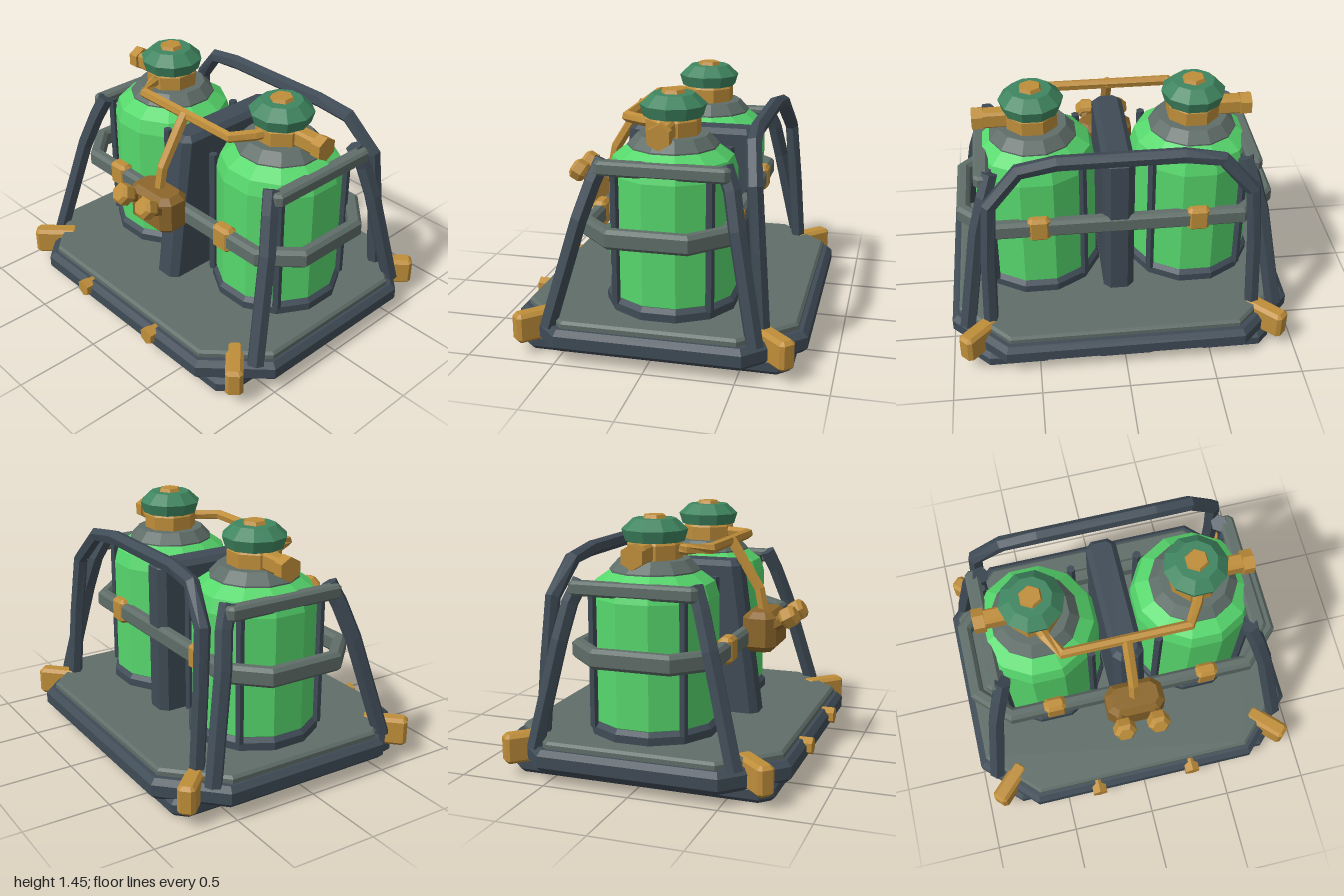
import * as THREE from 'three';

const paint = (name, color) => Object.assign(new THREE.MeshStandardMaterial({ color }), { name });

export function createModel() {
  const slate = paint('slate frame', 0x3f4b56);
  const grey = paint('grey steel', 0x5f6d68);
  const green = paint('bright green', 0x56d76c);
  const darkGreen = paint('dark green', 0x3f8560);
  const gold = paint('gold', 0xbf8e3a);
  const bronze = paint('bronze', 0x8d672b);
  const model = new THREE.Group();
  model.name = 'twinTankUnit';

  // Adds a faceted mesh
  function add(name, geo, mat, x = 0, y = 0, z = 0, parent = model) {
    const g = geo.index ? geo.toNonIndexed() : geo;
    g.computeVertexNormals();
    const mesh = new THREE.Mesh(g, mat);
    mesh.name = name;
    mesh.position.set(x, y, z);
    parent.add(mesh);
    return mesh;
  }

  const octagon = (Path, w, d, c) => {
    const a = w / 2, b = d / 2;
    return new Path([[a - c, -b], [a, -b + c], [a, b - c], [a - c, b],
      [-a + c, b], [-a, b - c], [-a, -b + c], [-a + c, -b]].map(p => new THREE.Vector2(...p)));
  };

  // Horizontal bevelled plate with cut corners, standing on y = 0
  function plate(w, d, h, cut, bevel, wall = 0) {
    const shape = octagon(THREE.Shape, w, d, cut);
    if (wall) shape.holes.push(octagon(THREE.Path, w - 2 * wall, d - 2 * wall, cut - wall * 0.586));
    const geo = new THREE.ExtrudeGeometry(shape, { depth: h - 2 * bevel, bevelEnabled: true,
      bevelThickness: bevel, bevelSize: bevel, bevelOffset: -bevel, bevelSegments: 1 });
    return geo.translate(0, 0, bevel).rotateX(-Math.PI / 2);
  }

  // Faceted bar swept along a bent path
  function bar(points, r, sides = 6) {
    const p = points.map(q => new THREE.Vector3(...q));
    const pos = [], idx = [], n = p.length;
    const ref = new THREE.Vector3(0.31, 0.2, 0.93).normalize();
    const put = v => pos.push(v.x, v.y, v.z);
    p.forEach((c, i) => {
      const t = new THREE.Vector3();
      if (i > 0) t.add(c.clone().sub(p[i - 1]).normalize());
      if (i < n - 1) t.add(p[i + 1].clone().sub(c).normalize());
      t.normalize();
      const u = ref.clone().addScaledVector(t, -ref.dot(t)).normalize();
      const v = t.clone().cross(u);
      for (let k = 0; k < sides; k++) {
        const a = (k + 0.5) / sides * Math.PI * 2;
        put(c.clone().addScaledVector(u, r * Math.cos(a)).addScaledVector(v, r * Math.sin(a)));
      }
    });
    put(p[0]);
    put(p[n - 1]);
    for (let k = 0; k < sides; k++) {
      const k2 = (k + 1) % sides, e = (n - 1) * sides;
      for (let i = 0; i < n - 1; i++) {
        const a = i * sides + k, b = i * sides + k2;
        idx.push(a, b, b + sides, a, b + sides, a + sides);
      }
      idx.push(n * sides, k2, k, n * sides + 1, e + k, e + k2);
    }
    const geo = new THREE.BufferGeometry();
    geo.setAttribute('position', new THREE.Float32BufferAttribute(pos, 3));
    geo.setIndex(idx);
    return geo;
  }

  // Lathe with a flat facet facing the front
  const lathe = (profile, sides) => new THREE.LatheGeometry(
    profile.map(q => new THREE.Vector2(...q)), sides, Math.PI / sides);

  // Base: skids, slab and deck
  for (const x of [-0.625, 0, 0.625]) {
    add('skid', plate(x ? 0.47 : 0.44, 1.53, 0.1, 0.07, 0.025), slate, x, 0, -0.015);
  }
  add('baseSlab', plate(2, 1.655, 0.125, 0.31, 0.03), slate, 0, 0.07, -0.0175);
  add('deck', plate(1.91, 1.55, 0.06, 0.29, 0.015), grey, 0, 0.175, -0.015);
  for (const x of [-0.3, 0.3]) {
    add('frontBolt', new THREE.CylinderGeometry(0.05, 0.05, 0.09, 6).rotateX(Math.PI / 2),
      gold, x, 0.155, 0.795);
  }
  for (const sx of [-1, 1]) for (const sz of [-1, 1]) {
    add('cornerClamp', plate(0.27, 0.1, 0.17, 0.02, 0.02), gold,
      sx * 0.835, 0.072, sz * 0.665 - 0.015).rotation.y = -sx * sz * Math.PI / 4;
  }

  // Centre pillar, its front edge leaning back towards the top
  const pillar = plate(0.18, 0.88, 0.94, 0.04, 0.03);
  const pp = pillar.attributes.position;
  for (let i = 0; i < pp.count; i++) {
    if (pp.getZ(i) > 0) pp.setZ(i, pp.getZ(i) - 0.13 * pp.getY(i) / 0.94);
  }
  add('centrePillar', pillar, slate, 0, 0.205, 0.01);

  // Tanks with valves and guard rods
  for (const s of [-1, 1]) {
    const tank = new THREE.Group();
    tank.name = s > 0 ? 'leftTank' : 'rightTank';
    tank.position.set(s * 0.463, 0, -0.045);
    model.add(tank);
    add('tankFoot', lathe([[0, 0.21], [0.38, 0.21], [0.38, 0.28], [0.355, 0.305], [0, 0.305]], 12),
      slate, 0, 0, 0, tank);
    add('tankBody', lathe([[0.34, 0.295], [0.36, 0.31], [0.36, 1.0], [0.335, 1.08], [0.25, 1.14], [0, 1.14]], 12),
      green, 0, 0, 0, tank);
    add('tankCollar', lathe([[0.255, 1.12], [0.255, 1.145], [0.2, 1.205], [0, 1.205]], 12),
      grey, 0, 0, 0, tank);
    add('valveNeck', lathe([[0.155, 1.2], [0.155, 1.285], [0.135, 1.31], [0, 1.31]], 8),
      gold, 0, 0, 0, tank);
    add('valveWheel', lathe([[0, 1.3], [0.165, 1.3], [0.185, 1.365], [0.12, 1.425], [0, 1.425]], 10),
      darkGreen, 0, 0, 0, tank);
    add('wheelCap', new THREE.CylinderGeometry(0.06, 0.075, 0.03, 6), gold, 0, 1.43, 0, tank);
    add('valveStem', plate(0.24, 0.09, 0.1, 0.02, 0.015), gold, s * 0.2, 1.2, 0, tank);
    add('valveNut', new THREE.CylinderGeometry(0.07, 0.07, 0.065, 6).rotateZ(Math.PI / 2)
      .rotateX(Math.PI / 2), gold, s * 0.305, 1.25, 0, tank);
    for (const x of [-0.265, 0.265]) for (const z of [-0.265, 0.265]) {
      add('guardRod', new THREE.CylinderGeometry(0.025, 0.025, 0.79, 6), slate, x, 0.675, z, tank);
    }
  }

  // Belt around both tanks with clips
  add('belt', plate(1.86, 0.85, 0.11, 0.2, 0.02, 0.075), grey, 0, 0.66, -0.01);
  for (const x of [-0.46, 0.46]) for (const z of [0.38, -0.4]) {
    add('beltClip', plate(0.13, 0.085, 0.15, 0.02, 0.02), gold, x, 0.64, z);
  }

  // Side frames: leaning legs joined by a top rail
  for (const s of [-1, 1]) {
    add('frontLeg', bar([[s * 0.905, 0.18, 0.56], [s * 0.81, 0.78, 0.395], [s * 0.755, 0.98, 0.33],
      [s * 0.715, 1.1, 0.28]], 0.05), slate);
    add('rearLeg', bar([[s * 0.905, 0.18, -0.59], [s * 0.81, 0.78, -0.47], [s * 0.755, 0.98, -0.43],
      [s * 0.715, 1.1, -0.38]], 0.05), slate);
    add('topRail', plate(0.085, 0.74, 0.08, 0.025, 0.015), grey, s * 0.765, 1.025, -0.055);
  }

  // Rear hoop
  const hoop = [[0.77, 0.18, -0.61], [0.755, 0.65, -0.575], [0.73, 1.0, -0.545], [0.56, 1.19, -0.505], [0.35, 1.22, -0.49]];
  add('rearHoop', bar([...hoop, ...hoop.map(([x, y, z]) => [-x, y, z]).reverse()], 0.045), slate);

  // Feed pipes
  add('crossPipe', bar([[-0.46, 1.255, 0.06], [-0.435, 1.255, 0.13], [-0.36, 1.255, 0.25],
    [0.36, 1.255, 0.25], [0.435, 1.255, 0.13], [0.46, 1.255, 0.06]], 0.032), gold);
  add('downPipe', bar([[0, 1.265, 0.25], [0, 1.19, 0.3], [0, 0.98, 0.43], [0, 0.83, 0.46]], 0.034), gold);

  // Control box with two angled knobs
  add('controlBox', plate(0.34, 0.2, 0.235, 0.05, 0.035), bronze, 0, 0.63, 0.465);
  for (const x of [-0.1, 0.1]) {
    const knob = new THREE.Group();
    knob.name = 'controlKnob';
    knob.position.set(x, 0.77, 0.51);
    knob.rotation.x = Math.PI / 3;
    model.add(knob);
    add('knobStem', new THREE.CylinderGeometry(0.038, 0.038, 0.12, 6), bronze, 0, 0.06, 0, knob);
    add('knobHead', lathe([[0, 0.1], [0.05, 0.1], [0.066, 0.12], [0.066, 0.175], [0.045, 0.195], [0, 0.195]], 6),
      gold, 0, 0, 0, knob);
  }
  return model;
}
